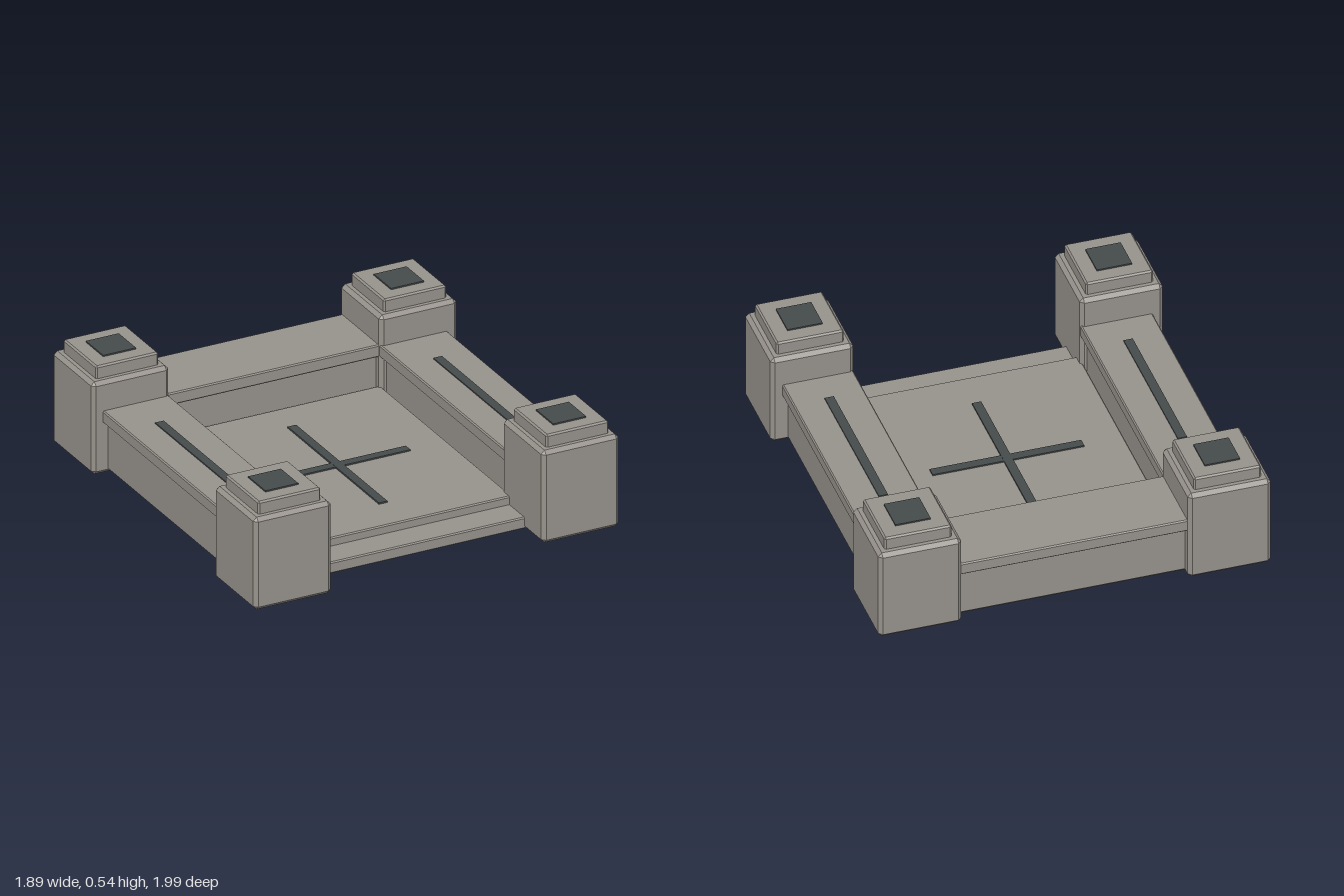
import * as THREE from 'three';
import { ConvexGeometry } from 'three/addons/geometries/ConvexGeometry.js';

// Box given by its min and max corners, with every edge chamfered by c
function chamferBox([x0, y0, z0], [x1, y1, z1], c) {
  const h = [(x1 - x0) / 2, (y1 - y0) / 2, (z1 - z0) / 2];
  const points = [];
  for (const sx of [-1, 1]) for (const sy of [-1, 1]) for (const sz of [-1, 1]) {
    for (let axis = 0; axis < 3; axis++) {
      const p = h.map((v, i) => (i === axis ? v : v - c));
      points.push(new THREE.Vector3(sx * p[0], sy * p[1], sz * p[2]));
    }
  }
  return new ConvexGeometry(points).translate((x0 + x1) / 2, (y0 + y1) / 2, (z0 + z1) / 2);
}

function plainBox([x0, y0, z0], [x1, y1, z1]) {
  return new THREE.BoxGeometry(x1 - x0, y1 - y0, z1 - z0)
    .translate((x0 + x1) / 2, (y0 + y1) / 2, (z0 + z1) / 2);
}

export function createModel() {
  const stone = new THREE.MeshStandardMaterial({ color: 0x96918b });
  stone.name = 'stone';
  const inlay = new THREE.MeshStandardMaterial({ color: 0x454a4a });
  inlay.name = 'darkInlay';

  const model = new THREE.Group();
  model.name = 'courtyardBase';

  const addStone = (parent, name, min, max, chamfer) => {
    const mesh = new THREE.Mesh(chamferBox(min, max, chamfer), stone);
    mesh.name = name;
    parent.add(mesh);
  };
  const addInlay = (parent, name, min, max) => {
    const mesh = new THREE.Mesh(plainBox(min, max), inlay);
    mesh.name = name;
    parent.add(mesh);
  };

  // Four corner posts, each with a cap and a square inlay
  for (const [sx, side] of [[1, 'Left'], [-1, 'Right']]) {
    for (const [z, end] of [[0.793, 'front'], [-0.798, 'back']]) {
      const post = new THREE.Group();
      post.name = `${end}${side}Post`;
      post.position.set(sx * 0.745, 0, z);
      addStone(post, 'postBlock', [-0.2, 0, -0.2], [0.2, 0.47, 0.2], 0.018);
      addStone(post, 'postCap', [-0.162, 0.455, -0.162], [0.162, 0.533, 0.162], 0.008);
      addInlay(post, 'postInlay', [-0.085, 0.532, -0.085], [0.085, 0.54, 0.085]);
      model.add(post);
    }

    // Side wall with an overhanging coping and a long inlay strip
    const wall = new THREE.Group();
    wall.name = `side${side}Wall`;
    wall.position.x = sx * 0.72;
    addStone(wall, 'wallBody', [-0.145, 0.004, -0.63], [0.145, 0.268, 0.63], 0.018);
    addStone(wall, 'wallCoping', [-0.172, 0.258, -0.63], [0.172, 0.32, 0.63], 0.006);
    addInlay(wall, 'wallInlay', [-0.022, 0.319, -0.37], [0.022, 0.326, 0.43]);
    model.add(wall);
  }

  // Back wall
  const backWall = new THREE.Group();
  backWall.name = 'backWall';
  addStone(backWall, 'backWallBody', [-0.58, 0.004, -0.945], [0.58, 0.268, -0.645], 0.018);
  addStone(backWall, 'backWallCoping', [-0.57, 0.258, -0.98], [0.57, 0.32, -0.615], 0.006);
  model.add(backWall);

  // Floor slab and the lower step at the open front
  addStone(model, 'floorSlab', [-0.56, 0.012, -0.63], [0.56, 0.104, 0.665], 0.006);
  addStone(model, 'frontStep', [-0.57, 0.004, 0.655], [0.57, 0.062, 0.815], 0.006);

  // Cross inlaid in the floor
  addInlay(model, 'floorInlayLong', [-0.022, 0.103, -0.435], [0.022, 0.112, 0.46]);
  addInlay(model, 'floorInlayWide', [-0.365, 0.103, -0.01], [0.365, 0.111, 0.036]);

  return model;
}
